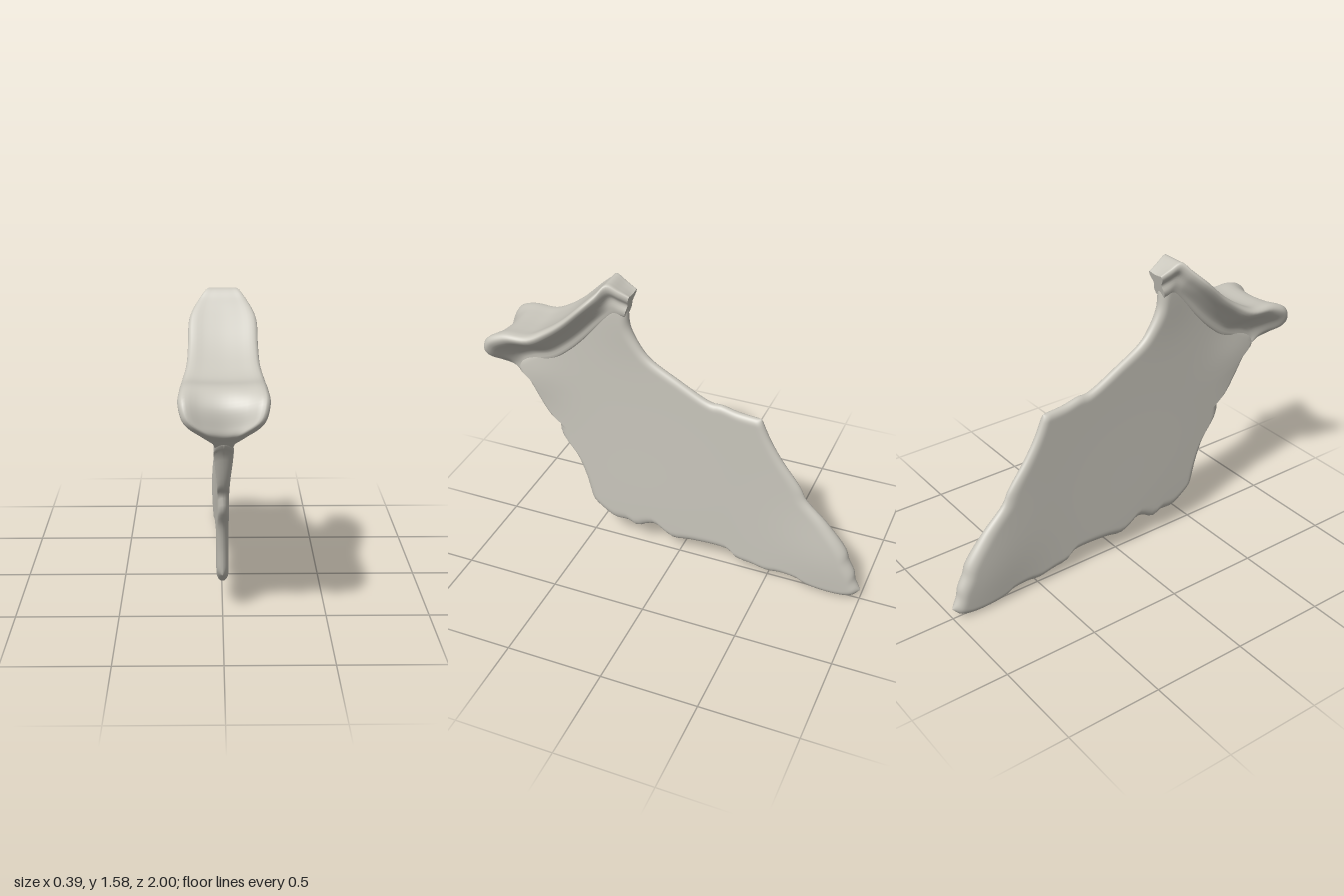
import * as THREE from 'three';

const bone = new THREE.MeshStandardMaterial({ color: 0xc9c6bc });
bone.name = 'bone';

// Smooth curve in the x = 0 plane from flat z, y pairs
function edge(zy) {
  const pts = [];
  for (let i = 0; i < zy.length; i += 2) pts.push(new THREE.Vector3(0, zy[i + 1], zy[i]));
  return new THREE.CatmullRomCurve3(pts);
}

function makeMesh(name, positions, index) {
  const g = new THREE.BufferGeometry();
  g.setAttribute('position', new THREE.Float32BufferAttribute(positions, 3));
  g.setIndex(index);
  g.computeVertexNormals();
  const mesh = new THREE.Mesh(g, bone);
  mesh.name = name;
  return mesh;
}

// Half thickness of the blade: thin in the middle, swollen at three corners
function halfThickness(z, y) {
  const swell = (z0, y0, r, a) => a * Math.exp(-((z - z0) ** 2 + (y - y0) ** 2) / (r * r));
  return 0.026 + swell(-0.82, 0.2, 0.25, 0.021) + swell(0.82, 0.95, 0.16, 0.018)
    + swell(0.27, 1.42, 0.2, 0.012) + swell(0.2, 0.25, 0.35, 0.005);
}

// Broad blade: a patch between four ragged edges, mirrored to both sides
function createBlade() {
  const top = edge([0.28, 1.5, 0.268, 1.43, 0.26, 1.34, 0.22, 1.255, 0.16, 1.18, 0.01, 1.09,
    -0.17, 1.0, -0.22, 1.0, -0.31, 0.98, -0.43, 0.97]);
  const back = edge([-0.43, 0.97, -0.48, 0.86, -0.54, 0.76, -0.65, 0.61, -0.68, 0.55, -0.8, 0.43,
    -0.91, 0.29, -0.925, 0.24, -0.96, 0.17, -0.97, 0.12, -1, 0.06]);
  const bottom = edge([0.5, 0.215, 0.37, 0.13, 0.29, 0.13, 0.24, 0.11, 0.18, 0.14, 0.13, 0.15, 0.06, 0.105,
    0.02, 0.09, -0.07, 0.105, -0.29, 0.103, -0.33, 0.065, -0.42, 0.05, -0.5, 0.035, -0.58, 0.045,
    -0.68, 0.035, -0.72, 0.015, -0.88, 0.003, -0.96, 0.02, -1, 0.06]);
  const front = edge([0.28, 1.5, 0.5, 1.32, 0.7, 1.16, 0.88, 1.05, 0.91, 1.01, 0.85, 0.95, 0.82, 0.89,
    0.78, 0.805, 0.74, 0.74, 0.68, 0.7, 0.67, 0.62, 0.59, 0.505, 0.54, 0.38, 0.5, 0.215]);
  const N = 72, positions = [], index = [];
  const steps = Array.from({ length: N + 1 }, (_, i) => (1 - Math.cos(Math.PI * i / N)) / 2);
  const [T, B, F, K] = [top, bottom, front, back].map(c => steps.map(s => c.getPointAt(s)));
  const round = s => {
    const d = Math.min(s, 1 - s, 0.035) / 0.035;
    return Math.sqrt(Math.max(0, 1 - (1 - d) ** 2));
  };
  for (const side of [1, -1]) {
    const base = positions.length / 3;
    for (let j = 0; j <= N; j++) for (let i = 0; i <= N; i++) {
      const u = steps[i], v = steps[j];
      const coons = a => (1 - v) * T[i][a] + v * B[i][a] + (1 - u) * F[j][a] + u * K[j][a]
        - (1 - v) * ((1 - u) * T[0][a] + u * T[N][a]) - v * ((1 - u) * B[0][a] + u * B[N][a]);
      const y = coons('y'), z = coons('z');
      positions.push(side * halfThickness(z, y) * round(u) * round(v), y, z);
      if (i < N && j < N) {
        const a = base + j * (N + 1) + i, b = a + 1, c = a + N + 1, d = c + 1;
        if (side > 0) index.push(a, c, b, b, c, d);
        else index.push(a, b, c, b, d, c);
      }
    }
  }
  return makeMesh('blade', positions, index);
}

// Flared joint head: saddle-shaped sections lofted from the upper tip to the front lip
function createHead() {
  // top z, top y, half width, hollow of the midline, base z, base y
  const stations = [
    [0.24, 1.525, 0.05, 0.05, 0.275, 1.4], [0.29, 1.55, 0.06, 0.02, 0.3, 1.4],
    [0.35, 1.578, 0.075, 0, 0.33, 1.4], [0.395, 1.535, 0.115, 0, 0.37, 1.37],
    [0.46, 1.475, 0.15, 0.04, 0.42, 1.32], [0.57, 1.37, 0.156, 0.06, 0.5, 1.23],
    [0.66, 1.305, 0.162, 0.06, 0.58, 1.15], [0.75, 1.26, 0.18, 0.05, 0.67, 1.08],
    [0.88, 1.253, 0.19, 0.05, 0.76, 1.04], [0.965, 1.215, 0.196, 0.18, 0.81, 1.01],
    [1.0, 1.14, 0.172, 0.28, 0.83, 0.98], [0.98, 1.075, 0.1, 0.2, 0.84, 0.96],
    [0.92, 1.02, 0.045, 0.05, 0.84, 0.94]];
  const section = ([tz, ty, w, hollow, bz, by]) => {
    const half = [[0.5 * w, hollow * 0.65], [0.9 * w, 0.01], [w, 0.1], [0.93 * w, 0.24],
      [0.6 * w, 0.46], [Math.min(0.042, 0.8 * w), 0.75], [0.028, 1]];
    const ring = [[0, hollow], ...half, ...half.slice().reverse().map(([x, s]) => [-x, s])];
    return ring.map(([x, s]) => new THREE.Vector3(x, ty + s * (by - ty), tz + s * (bz - tz)));
  };
  const rings = stations.map(section);
  const rails = rings[0].map((_, k) => new THREE.CatmullRomCurve3(rings.map(r => r[k])));
  const M = 60, R = 60, positions = [], index = [];
  for (let j = 0; j <= M; j++) {
    const loop = new THREE.CatmullRomCurve3(rails.map(c => c.getPoint(j / M)), true);
    for (let k = 0; k < R; k++) {
      positions.push(...loop.getPoint(k / R).toArray());
      if (j < M) {
        const a = j * R + k, b = j * R + (k + 1) % R;
        index.push(a, a + R, b, b, a + R, b + R);
      }
    }
  }
  // End caps
  for (const j of [0, M]) {
    const start = positions.length / 3, ring = positions.slice(j * R * 3, (j + 1) * R * 3);
    const mid = [0, 0, 0];
    ring.forEach((p, i) => { mid[i % 3] += p / R; });
    positions.push(...ring, ...mid);
    for (let k = 0; k < R; k++) {
      const a = start + k, b = start + (k + 1) % R;
      if (j === 0) index.push(a, b, start + R);
      else index.push(b, a, start + R);
    }
  }
  return makeMesh('jointHead', positions, index);
}

export function createModel() {
  const model = new THREE.Group();
  model.name = 'bladeBone';
  model.add(createBlade(), createHead());
  return model;
}
